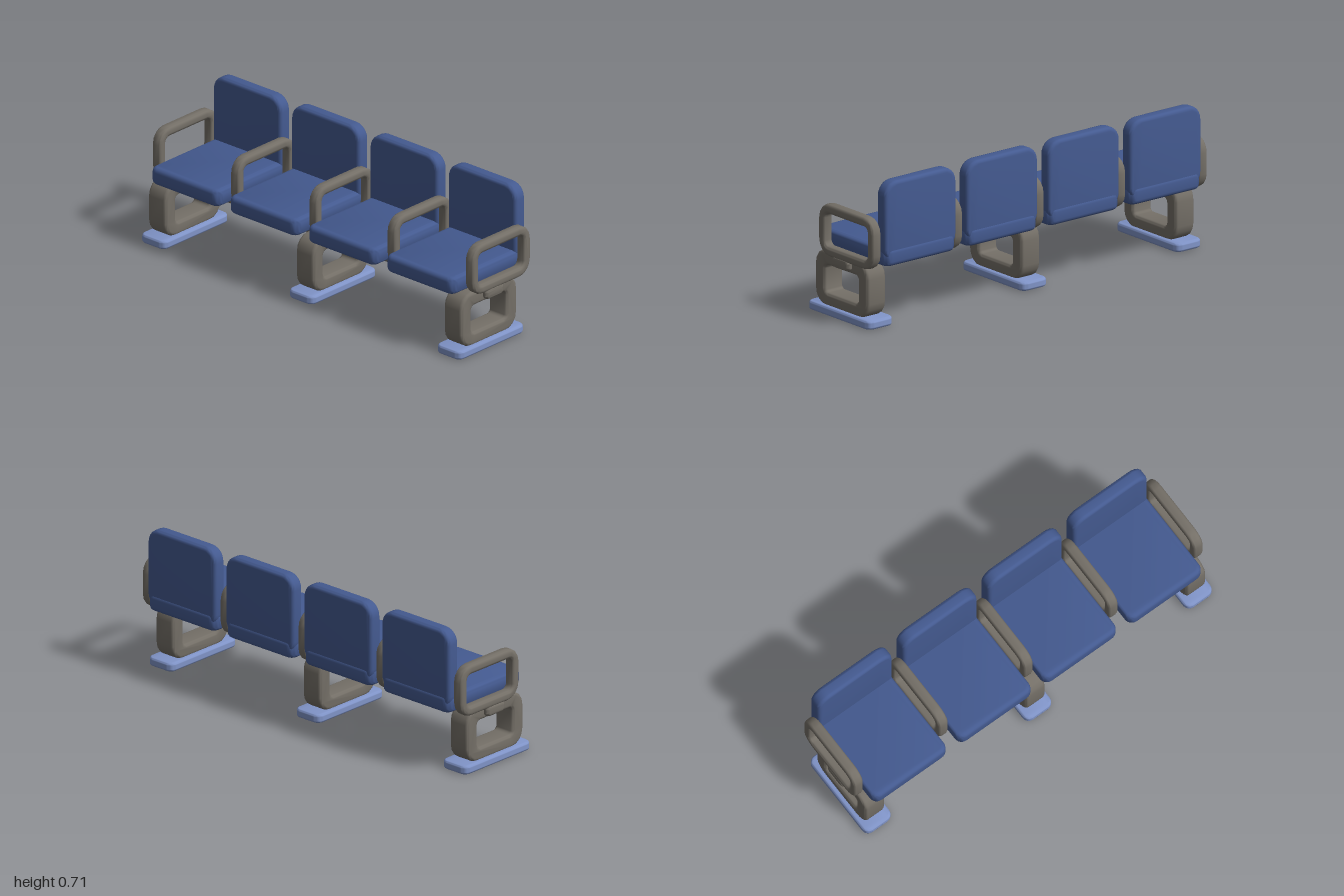
import * as THREE from 'three';
import { toCreasedNormals } from 'three/addons/utils/BufferGeometryUtils.js';

const material = (name, color) => Object.assign(new THREE.MeshStandardMaterial({ color }), { name });

// Traces a rounded rectangle centred on (cx, cy)
function roundedRect(path, w, h, r, cx = 0, cy = 0) {
  const x = w / 2 - r, y = h / 2 - r, q = Math.PI / 2;
  path.moveTo(cx + w / 2, cy - y);
  path.absarc(cx + x, cy + y, r, 0, q, false);
  path.absarc(cx - x, cy + y, r, q, 2 * q, false);
  path.absarc(cx - x, cy - y, r, 2 * q, 3 * q, false);
  path.absarc(cx + x, cy - y, r, 3 * q, 4 * q, false);
  path.closePath();
  return path;
}

// Soft-edged slab, w by h by depth, extruded along z and centred
function slab(w, h, depth, radius, bevel, hole = null, curveSegments = 3) {
  const shape = roundedRect(new THREE.Shape(), w, h, radius);
  if (hole) shape.holes.push(roundedRect(new THREE.Path(), hole.w, hole.h, hole.r, hole.x, hole.y));
  const geometry = new THREE.ExtrudeGeometry(shape, {
    depth: depth - 2 * bevel, bevelThickness: bevel, bevelSize: bevel,
    bevelOffset: -bevel, bevelSegments: 4, curveSegments
  });
  geometry.translate(0, 0, bevel - depth / 2);
  return toCreasedNormals(geometry, 0.8);
}

export function createModel() {
  const model = new THREE.Group();
  model.name = 'bench';
  const upholstery = material('blue upholstery', 0x445a90);
  const frame = material('grey frame', 0x746f67);
  const footBlue = material('light blue feet', 0x8094c8);

  const add = (name, geometry, mat, x, y, z) => {
    const mesh = new THREE.Mesh(geometry, mat);
    mesh.name = name;
    mesh.position.set(x, y, z);
    model.add(mesh);
  };

  // Four padded seats with backrests
  const seat = slab(0.425, 0.503, 0.085, 0.04, 0.022).rotateX(-Math.PI / 2);
  const back = slab(0.425, 0.394, 0.068, 0.07, 0.018);
  for (const x of [-0.731, -0.244, 0.244, 0.731]) {
    add('seatCushion', seat, upholstery, x, 0.3495, -0.0035);
    add('backrest', back, upholstery, x, 0.517, -0.217);
  }

  // Five armrest loops between and beside the seats
  const arm = slab(0.398, 0.252, 0.053, 0.075, 0.016,
    { w: 0.306, h: 0.158, r: 0.025, x: -0.001, y: 0 }, 2).rotateY(Math.PI / 2);
  for (let i = -2; i <= 2; i++) add('armrest', arm, frame, i * 0.4867, 0.414, -0.029);

  // Three leg loops standing on flat feet
  const leg = slab(0.382, 0.27, 0.112, 0.075, 0.016,
    { w: 0.237, h: 0.134, r: 0.02, x: 0, y: -0.003 }, 2).rotateY(Math.PI / 2);
  const foot = slab(0.155, 0.452, 0.043, 0.035, 0.012).rotateX(-Math.PI / 2);
  for (const x of [-0.92, 0, 0.92]) {
    add('leg', leg, frame, x, 0.17, 0.031);
    add('foot', foot, footBlue, x, 0.0215, 0.031);
  }

  // Long beam under the seats
  const beam = slab(0.123, 0.055, 2, 0.024, 0.016).rotateY(Math.PI / 2);
  add('beam', beam, frame, 0, 0.2725, 0.0135);

  return model;
}
